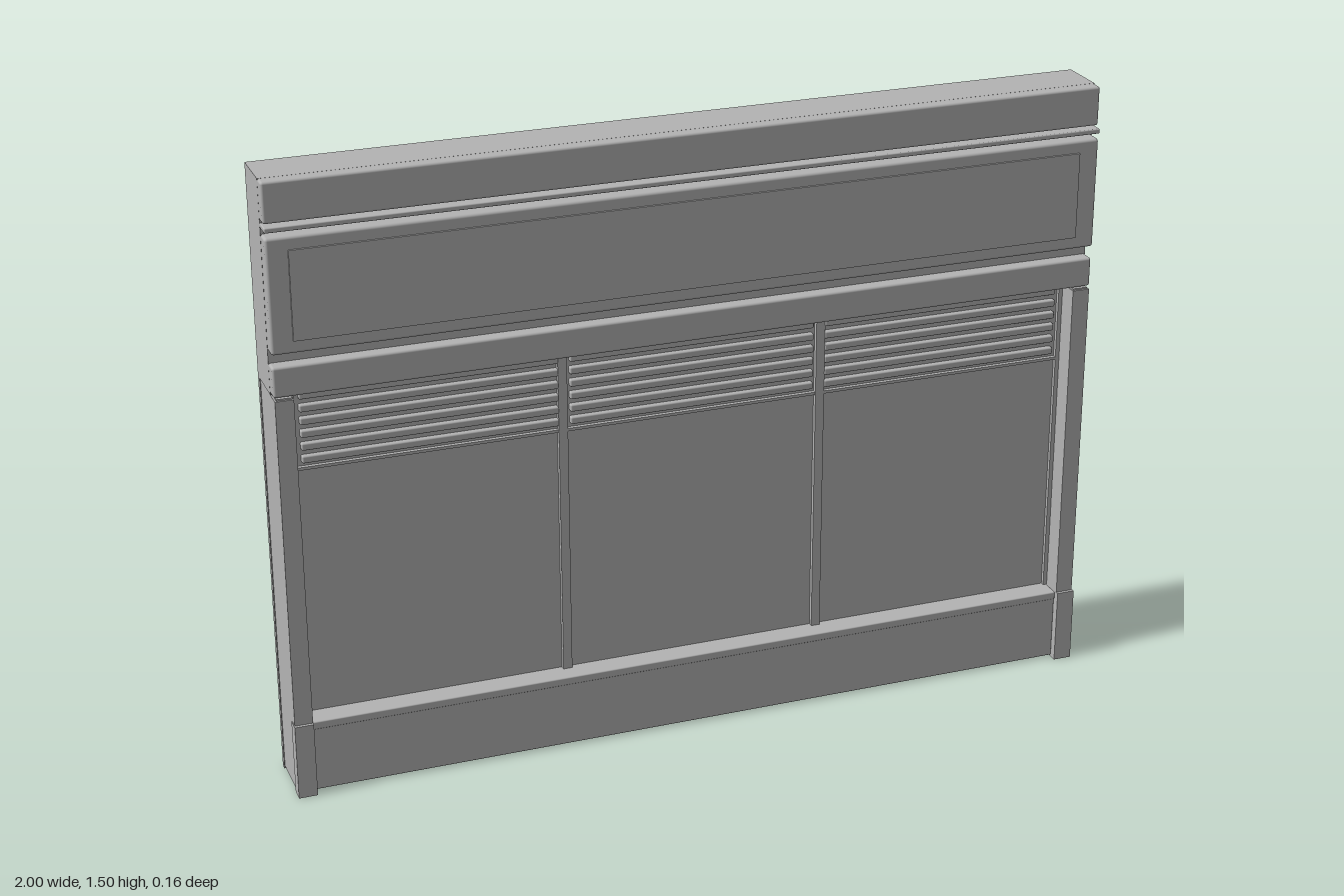
import * as THREE from 'three';
import { RoundedBoxGeometry } from 'three/addons/geometries/RoundedBoxGeometry.js';

export function createModel() {
  const model = new THREE.Group();
  model.name = 'shopfront';
  const grey = new THREE.MeshStandardMaterial({ color: 0xb4b4b4 });
  grey.name = 'plain grey';

  // Block given by its limits on each axis; a radius softens its edges.
  function block(name, [x0, x1], [y0, y1], [z0, z1], radius = 0) {
    const size = [x1 - x0, y1 - y0, z1 - z0];
    const geometry = radius
      ? new RoundedBoxGeometry(...size, 2, radius)
      : new THREE.BoxGeometry(...size);
    const mesh = new THREE.Mesh(geometry, grey);
    mesh.name = name;
    mesh.position.set((x0 + x1) / 2, (y0 + y1) / 2, (z0 + z1) / 2);
    model.add(mesh);
  }
  const wide = [-1, 1];
  const opening = [-0.955, 0.955];

  // Back and upper wall
  block('backWall', wide, [0, 1], [-0.08, -0.065]);
  block('upperWall', wide, [1, 1.5], [-0.08, 0.04]);

  // Fascia mouldings and sign board
  block('cornice', wide, [1.405, 1.5], [0.035, 0.07], 0.006);
  block('corniceStrip', wide, [1.388, 1.4], [0.035, 0.08], 0.003);
  block('signBoard', wide, [1.105, 1.375], [0.035, 0.077], 0.007);
  block('signPanel', [-0.95, 0.95], [1.135, 1.345], [0.07, 0.082]);
  block('lintel', wide, [1.003, 1.075], [0.035, 0.073], 0.006);

  // Side pillars with a fine seam at top and bottom, and base blocks
  for (const side of [-1, 1]) {
    const span = (a, b) => (side > 0 ? [a, b] : [-b, -a]);
    block('pillar', span(0.955, 0.998), [0.006, 0.996], [-0.065, 0.075]);
    block('pillarCore', span(0.957, 0.994), [0, 1], [-0.065, 0.071]);
    block('pillarBase', span(0.955, 1), [0, 0.187], [0.05, 0.083]);
  }

  // Plinth below the windows, leaving a slot along the back
  block('plinth', opening, [0.005, 0.17], [-0.03, 0.066], 0.004);
  block('sill', opening, [0.165, 0.185], [-0.03, 0.069], 0.003);

  // Window panel, frame and mullions
  block('windowPanel', opening, [0.18, 1], [-0.03, 0.012]);
  for (const x of [-0.32, 0.32]) {
    block('mullion', [x - 0.011, x + 0.011], [0.185, 0.985], [0.01, 0.024]);
  }
  for (const x of [-0.95, 0.95]) {
    block('frameEdge', [x - 0.005, x + 0.005], [0.185, 0.99], [0.01, 0.022]);
  }
  block('transom', [-0.945, 0.945], [0.8, 0.807], [0.01, 0.022]);

  // Louvres above each of the three windows
  for (let bay = -1; bay <= 1; bay++) {
    const x = bay * 0.632;
    for (let row = 0; row < 6; row++) {
      const y = 0.826 + row * 0.031;
      block('louvre', [x - 0.302, x + 0.302], [y - 0.009, y + 0.009], [0.01, 0.026], 0.004);
    }
  }
  return model;
}
